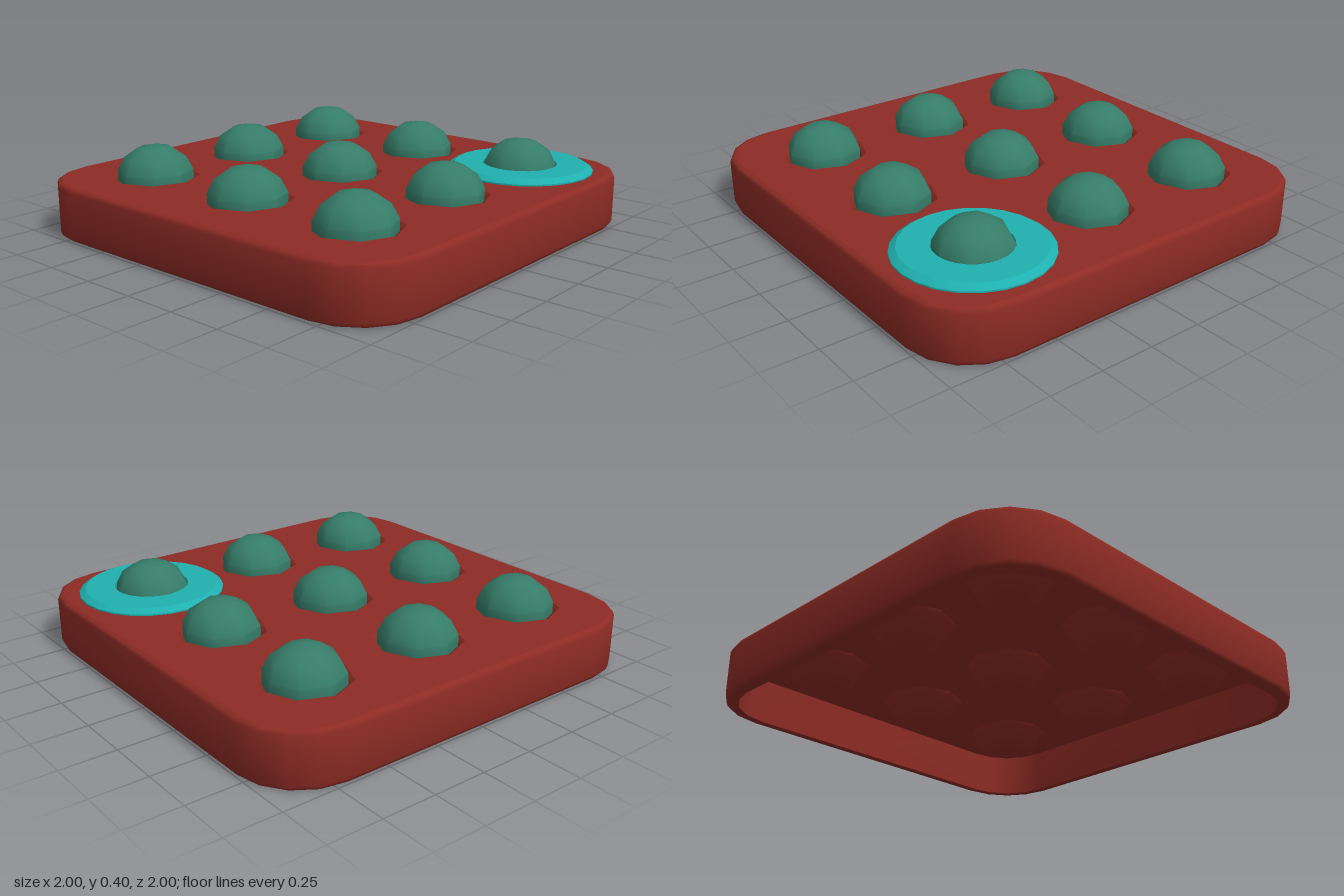
import * as THREE from 'three';
import { toCreasedNormals } from 'three/addons/utils/BufferGeometryUtils.js';

const TOP = 0.25, CEILING = 0.21, WALL = 0.06, EDGE = 0.024, CORNER = 0.3, PITCH = 0.597;

const red = new THREE.MeshStandardMaterial({ color: 0x8c2b24 });
const green = new THREE.MeshStandardMaterial({ color: 0x367d69 });
const teal = new THREE.MeshStandardMaterial({ color: 0x1fb0af });

function add(parent, name, geometry, material) {
  const mesh = new THREE.Mesh(geometry, material);
  mesh.name = name;
  parent.add(mesh);
  return mesh;
}

function lathe(profile, sides, crease) {
  const points = profile.map(([r, y]) => new THREE.Vector2(r, y));
  return toCreasedNormals(new THREE.LatheGeometry(points, sides), crease);
}

// Rounded square outline, pulled inwards by inset
function outline(inset) {
  const points = [];
  const c = 1 - CORNER, r = CORNER - inset;
  for (let k = 0; k < 4; k++) {
    const mid = Math.PI / 4 + k * Math.PI / 2;
    const cx = c * Math.sign(Math.cos(mid)), cy = c * Math.sign(Math.sin(mid));
    for (let s = 0; s <= 4; s++) {
      const a = k * Math.PI / 2 + s * Math.PI / 8;
      points.push(new THREE.Vector2(cx + r * Math.cos(a), cy + r * Math.sin(a)));
    }
  }
  return points;
}

// Sweep an [inset, y] profile around the rounded square
function sweep(profile) {
  const positions = [], index = [];
  const n = outline(0).length;
  profile.forEach(([inset, y], i) => {
    outline(inset).forEach((p, j) => {
      positions.push(p.x, y, p.y);
      if (i + 1 < profile.length) {
        const a = i * n + j, c = i * n + (j + 1) % n;
        index.push(a, a + n, c, c, a + n, c + n);
      }
    });
  });
  const g = new THREE.BufferGeometry();
  g.setAttribute('position', new THREE.Float32BufferAttribute(positions, 3));
  g.setIndex(index);
  return toCreasedNormals(g, 0.8);
}

function eachSpot(fn) {
  for (const z of [-PITCH, 0, PITCH]) for (const x of [-PITCH, 0, PITCH]) fn(x, z);
}

// Flat panel with nine eight-sided holes
function panel(inset, holeRadius, y, facing) {
  const shape = new THREE.Shape(outline(inset));
  eachSpot((x, z) => {
    const hole = [];
    for (let i = 0; i < 8; i++) {
      const a = -i * Math.PI / 4;
      hole.push(new THREE.Vector2(x + holeRadius * Math.cos(a), z + holeRadius * Math.sin(a)));
    }
    shape.holes.push(new THREE.Path(hole));
  });
  const g = new THREE.ShapeGeometry(shape);
  g.rotateX(-facing * Math.PI / 2);
  g.translate(0, y, 0);
  return g;
}

export function createModel() {
  const model = new THREE.Group();
  model.name = 'gameBoard';

  // Hollow board with softened outer edges
  const board = new THREE.Group();
  board.name = 'board';
  model.add(board);
  add(board, 'boardWalls', sweep([
    [WALL, CEILING], [WALL, 0], [EDGE, 0], [0.007, 0.007], [0, EDGE],
    [0, TOP - EDGE], [0.007, TOP - 0.007], [EDGE, TOP],
  ]), red);
  add(board, 'boardTop', panel(EDGE, 0.2, TOP, 1), red);
  add(board, 'boardUnderside', panel(WALL, 0.197, CEILING, -1), red);

  // Shallow bowl: underside going up, then the bevelled rim and the inside going down
  const socket = lathe([
    [0, 0.082], [0.08, 0.095], [0.147, 0.138], [0.183, 0.196], [0.197, CEILING],
    [0.2, TOP], [0.184, 0.238], [0.177, 0.208], [0.142, 0.147], [0.08, 0.104], [0, 0.089],
  ], 8, 0.75);

  // Eight-sided ball with an upright band around its middle
  const ball = lathe([
    [0, 0.093], [0.076, 0.108], [0.137, 0.15], [0.172, 0.211],
    [0.172, 0.277], [0.14, 0.338], [0.078, 0.381], [0, 0.397],
  ], 8, 0.79);

  eachSpot((x, z) => {
    add(board, 'socket', socket, red).position.set(x, 0, z);
    add(model, 'ball', ball, green).position.set(x, 0, z);
  });

  // Flat marker ring with a sloping edge around the front left ball
  const ring = lathe([
    [0.17, 0.253], [0.335, 0.253], [0.335, 0.26], [0.305, 0.28], [0.17, 0.28], [0.17, 0.253],
  ], 24, 0.4);
  add(model, 'markerRing', ring, teal).position.set(PITCH, 0, 0.602);

  return model;
}
